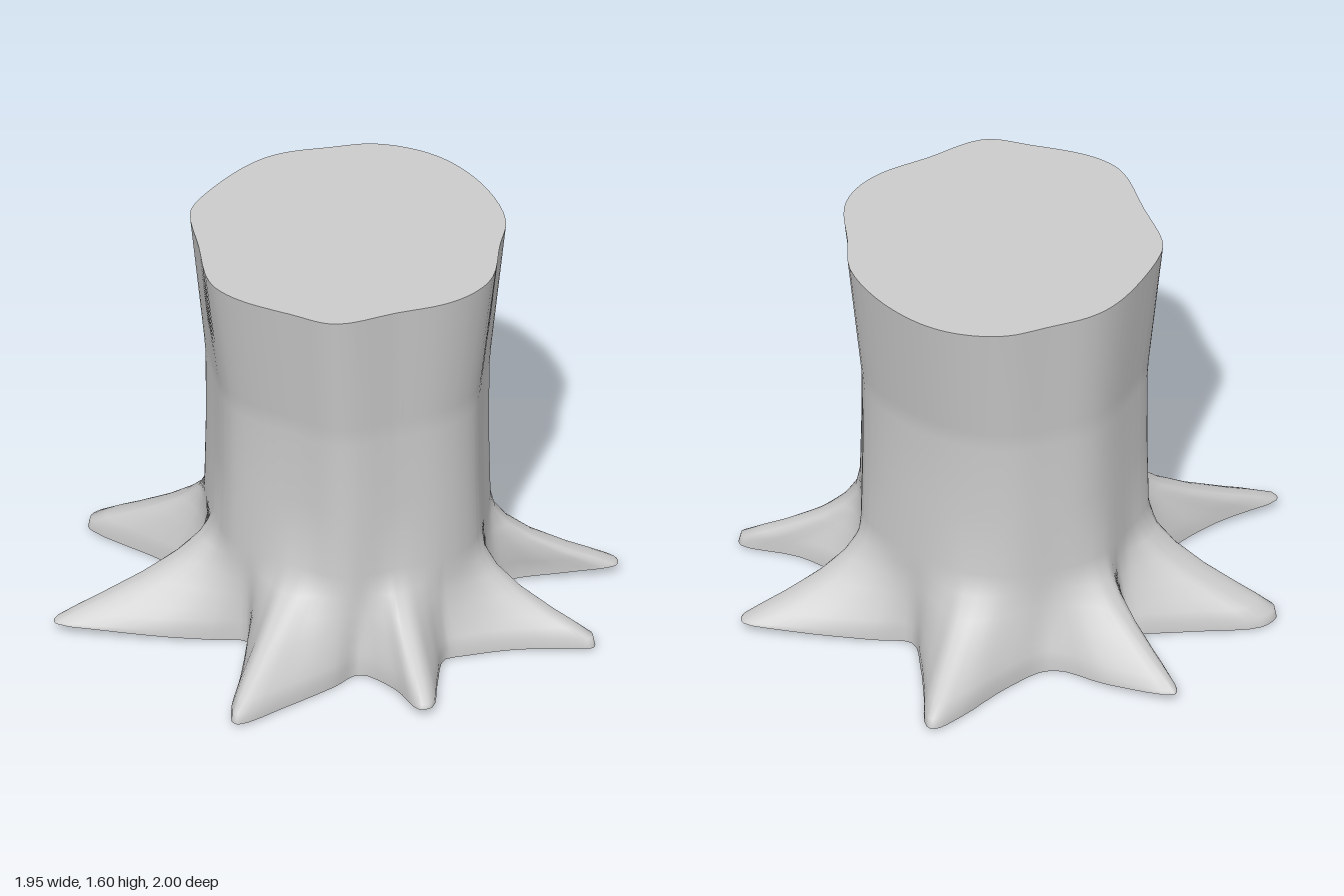
import * as THREE from 'three';

// Roots from +x towards +z: ground outline [x, z], steepness of the ridge,
// and whether the root lifts off the ground with a closed underside
const ROOTS = [
  { steep: 1.3, lifted: true, line: [.52, .13, .58, .26, .70, .53, .755, .715, .71, .745, .58, .62, .42, .46] },
  { steep: 1.3, lifted: false, line: [.32, .46, .28, .55, .25, .75, .295, .97, .26, .998, .20, .93, .08, .78, -.06, .66] },
  { steep: .9, lifted: true, line: [-.14, .61, -.30, .70, -.46, .80, -.50, .77, -.43, .60] },
  { steep: .8, lifted: false, line: [-.42, .42, -.54, .40, -.75, .35, -.97, .285, -.97, .25, -.77, .13, -.61, .03] },
  { steep: 1, lifted: true, line: [-.50, -.05, -.58, -.16, -.72, -.34, -.895, -.645, -.86, -.675, -.64, -.53, -.45, -.45] },
  { steep: 1, lifted: false, line: [-.31, -.43, -.27, -.60, -.28, -.97, -.25, -1, -.17, -.98, -.04, -.78, .07, -.60] },
  { steep: 1, lifted: true, line: [.10, -.56, .20, -.68, .35, -.90, .39, -.91, .43, -.65] },
  { steep: 1.05, lifted: false, line: [.43, -.41, .60, -.32, .85, -.255, .965, -.205, .965, -.17, .80, -.07, .64, .03] },
];
// Uneven rim of the cut top [x, z]
const RIM = [.63, .04, .57, .25, .45, .43, .30, .52, .12, .63, 0, .645, -.13, .61, -.30, .50, -.50, .37,
  -.55, .20, -.595, -.03, -.57, -.17, -.40, -.36, -.25, -.52, -.18, -.55, .05, -.565, .20, -.545, .30, -.50,
  .42, -.40, .55, -.28, .62, -.12];
// Rings: [height, share of root outline, x scale of rim, z scale of rim]
const LEVELS = [[.02, 1, .82, .89], [.06, .985, .82, .89], [.095, .86, .82, .89], [.13, .72, .82, .89],
  [.2, .46, .82, .89], [.27, .25, .82, .89], [.34, .1, .82, .89], [.42, 0, .83, .9], [.7, 0, .815, .89],
  [1, 0, .825, .89], [1.08, 0, .845, .9], [1.6, 0, 1, 1]];
const STEP = 4; // samples per outline point
const N = STEP * ROOTS.reduce((sum, root) => sum + root.line.length / 2, 0);

function closedCurve(a, step) {
  const points = Array.from({ length: a.length / 2 }, (_, i) => new THREE.Vector3(a[2 * i], 0, a[2 * i + 1]));
  return new THREE.CatmullRomCurve3(points, true, 'centripetal').getPoints(points.length * step).slice(0, -1);
}

// Distance from the axis to a closed outline at an angle
function radiusAt(points, angle) {
  const dx = Math.cos(angle), dz = Math.sin(angle);
  for (let i = 0; i < points.length; i++) {
    const p = points[i], q = points[(i + 1) % points.length];
    const a = dx * p.z - dz * p.x, b = dx * q.z - dz * q.x;
    if (a <= 0 && b > 0) {
      const t = a / (a - b);
      const r = dx * (p.x + (q.x - p.x) * t) + dz * (p.z + (q.z - p.z) * t);
      if (r > 0) return r;
    }
  }
  return .58;
}

// Angles of the outline points, evened out so each root spreads as it joins the trunk
function spreadAngles(outline) {
  let angles = [], last = null;
  for (const p of outline) {
    let a = Math.atan2(p.z, p.x);
    if (last !== null) a = last + Math.atan2(Math.sin(a - last), Math.cos(a - last));
    angles.push(last = a);
  }
  for (let k = 0; k < 60; k++) {
    angles = angles.map((a, i) => {
      const prev = i ? angles[i - 1] : angles[N - 1] - 2 * Math.PI;
      const next = i < N - 1 ? angles[i + 1] : angles[0] + 2 * Math.PI;
      return (prev + 2 * a + next) / 4;
    });
  }
  return angles;
}

function makeMesh(name, positions, index, material) {
  const g = new THREE.BufferGeometry();
  g.setAttribute('position', new THREE.Float32BufferAttribute(positions, 3));
  g.setIndex(index);
  g.computeVertexNormals();
  const mesh = new THREE.Mesh(g, material);
  mesh.name = name;
  return mesh;
}

export function createModel() {
  const group = new THREE.Group();
  group.name = 'treeStump';
  const material = new THREE.MeshStandardMaterial({ color: 0xcccccc, side: THREE.DoubleSide });

  const outline = closedCurve(ROOTS.flatMap(root => root.line), STEP);
  const rootOf = ROOTS.flatMap(root => Array(root.line.length / 2 * STEP).fill(root));
  const rimCurve = closedCurve(RIM, 4);
  const rim = spreadAngles(outline).map(a => {
    const r = radiusAt(rimCurve, a);
    return [r * Math.cos(a), r * Math.sin(a), Math.sin(2 * a) ** 2];
  });

  // Trunk flowing into the roots, open underneath
  const positions = [], index = [];
  LEVELS.forEach(([y, share, sx, sz], j) => {
    for (let i = 0; i < N; i++) {
      const [x, z, diagonal] = rim[i], p = outline[i], root = rootOf[i];
      const f = share ** root.steep;
      const full = 1 + .25 * (1 - sx) * diagonal; // the waist is fuller on the diagonals
      const reach = THREE.MathUtils.clamp((Math.hypot(p.x, p.z) - .55) / .45, 0, 1);
      const lift = j === 0 ? reach * (root.lifted ? .04 : .01) - .01 : 0;
      positions.push(x * sx * full * (1 - f) + p.x * f, y + lift, z * sz * full * (1 - f) + p.z * f);
      if (j < LEVELS.length - 1) {
        const a = j * N + i, b = j * N + (i + 1) % N;
        index.push(a, a + N, b, b, a + N, b + N);
      }
    }
  });
  group.add(makeMesh('trunkAndRoots', positions, index, material));

  // Undersides of the lifted roots, bridging from flank to flank
  ROOTS.forEach(root => {
    if (!root.lifted) return;
    const start = rootOf.indexOf(root), count = root.line.length / 2 * STEP;
    const floorIndex = [];
    for (let a = 0, b = count; a < b; a++, b--) floorIndex.push(a, a + 1, b, a + 1, b - 1, b);
    const floor = positions.slice(start * 3, (start + count + 1) * 3);
    group.add(makeMesh('rootUnderside', floor, floorIndex, material));
  });

  // Flat cut top
  const capPositions = [0, 1.605, 0], capIndex = [];
  rim.forEach(([x, z], i) => {
    capPositions.push(x, 1.6, z);
    capIndex.push(0, (i + 1) % N + 1, i + 1);
  });
  group.add(makeMesh('cutTop', capPositions, capIndex, material));
  return group;
}
